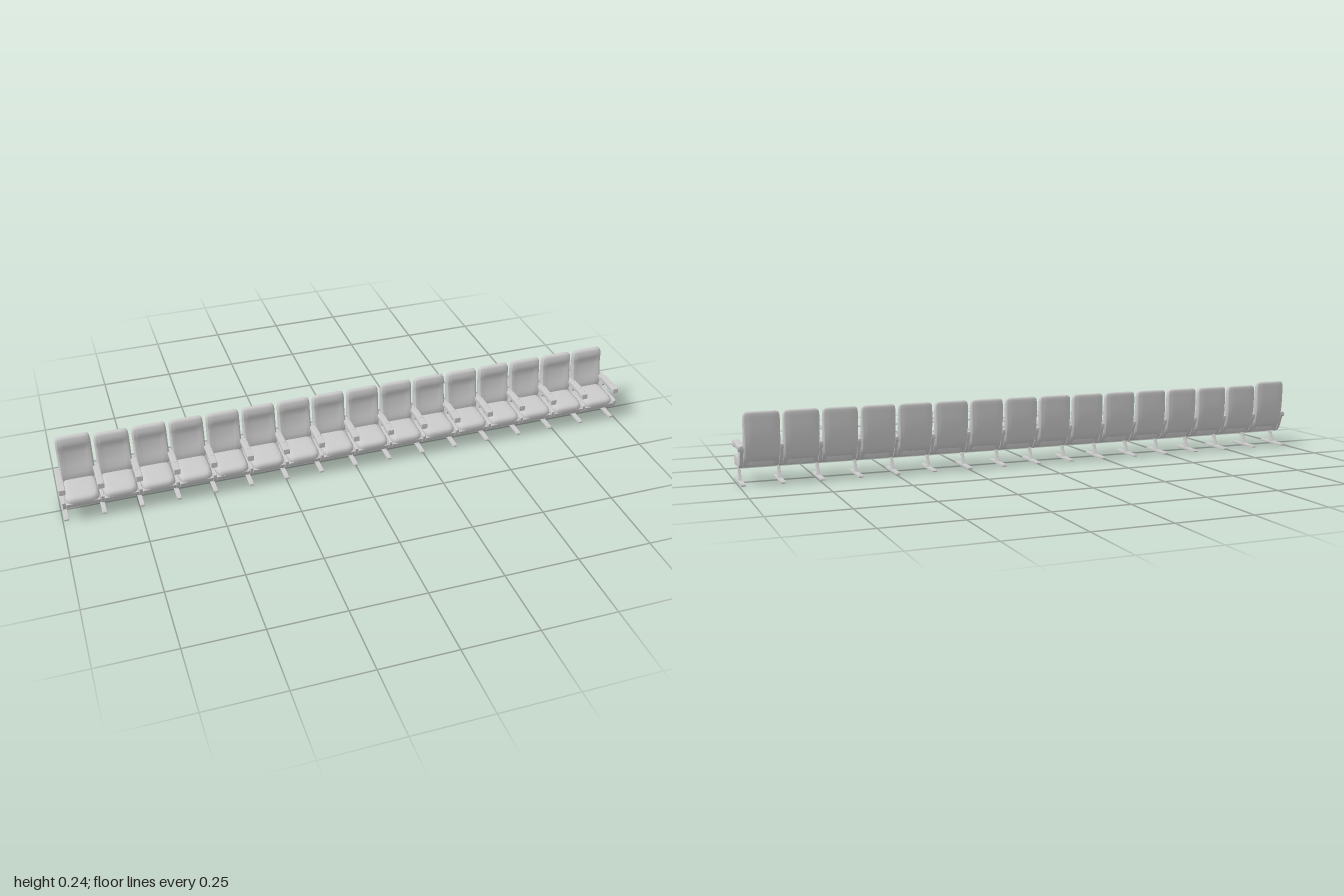
import * as THREE from 'three';
import { toCreasedNormals, mergeVertices } from 'three/addons/utils/BufferGeometryUtils.js';

const SEATS = 16, PITCH = 0.1235;
const material = new THREE.MeshStandardMaterial({ color: 0xcccccc });

// Side outline given as [z, y], extruded across x and centred on x = 0
function sideExtrude(points, width, bevel = 0.002, crease = 0.6) {
  const shape = new THREE.Shape(points.map(([z, y]) => new THREE.Vector2(z, y)));
  const geo = new THREE.ExtrudeGeometry(shape, {
    depth: width - 2 * bevel, bevelEnabled: bevel > 0, bevelSize: bevel,
    bevelThickness: bevel, bevelOffset: -bevel, bevelSegments: 3
  });
  geo.rotateY(-Math.PI / 2);
  geo.translate(width / 2 - bevel, 0, 0);
  return toCreasedNormals(geo, crease);
}

// Soft rounded-rectangle sections [y, zFront, zBack, halfWidth, hollow] stacked upward
function loft(sections, n = 40) {
  const pos = [], index = [];
  const soft = v => Math.sign(v) * Math.pow(Math.abs(v), 0.4);
  for (const [y, zf, zb, hw, hollow = 0] of sections) {
    for (let i = 0; i < n; i++) {
      const a = (i / n) * Math.PI * 2;
      const u = soft(Math.cos(a)), s = soft(Math.sin(a));
      let z = (zf + zb) / 2 + s * (zf - zb) / 2;
      if (s > 0) z -= hollow * Math.max(0, 1 - Math.pow(u / 0.85, 4));
      pos.push(u * hw, y, z);
    }
  }
  const last = sections.length - 1;
  for (let r = 0; r < last; r++) for (let i = 0; i < n; i++) {
    const a = r * n + i, b = r * n + (i + 1) % n;
    index.push(a, a + n, b, b, a + n, b + n);
  }
  // End caps
  for (const r of [0, last]) {
    const [y, zf, zb] = sections[r], c = pos.length / 3;
    pos.push(0, y, (zf + zb) / 2);
    for (let i = 0; i < n; i++) {
      const a = r * n + i, b = r * n + (i + 1) % n;
      if (r) index.push(c, b, a); else index.push(c, a, b);
    }
  }
  const geo = new THREE.BufferGeometry();
  geo.setAttribute('position', new THREE.Float32BufferAttribute(pos, 3));
  geo.setIndex(index);
  return toCreasedNormals(mergeVertices(geo), 0.9);
}

function add(parent, name, geo, x = 0, y = 0, z = 0) {
  const mesh = new THREE.Mesh(geo, material);
  mesh.name = name;
  mesh.position.set(x, y, z);
  parent.add(mesh);
  return mesh;
}

export function createModel() {
  const model = new THREE.Group();
  model.name = 'seatRow';

  // Padded backrest with a hollow for the sitter and a fuller head area
  const backrest = loft([
    [0.073, -0.045, -0.051, 0.048], [0.078, -0.038, -0.055, 0.053],
    [0.092, -0.034, -0.061, 0.056], [0.11, -0.034, -0.066, 0.057, 0.004],
    [0.13, -0.038, -0.070, 0.057, 0.006], [0.15, -0.044, -0.072, 0.057, 0.006],
    [0.175, -0.048, -0.073, 0.057, 0.005], [0.194, -0.051, -0.073, 0.057, 0.003],
    [0.2, -0.050, -0.073, 0.057], [0.214, -0.052, -0.073, 0.0565],
    [0.224, -0.054, -0.073, 0.055], [0.23, -0.057, -0.072, 0.051], [0.232, -0.061, -0.069, 0.046]
  ]);

  // Seat cushion, crowned and rounded at the corners
  const cushion = loft([
    [0.056, 0.064, -0.04, 0.05], [0.06, 0.07, -0.042, 0.054], [0.072, 0.074, -0.044, 0.055],
    [0.083, 0.073, -0.044, 0.055], [0.088, 0.069, -0.044, 0.053],
    [0.0915, 0.06, -0.044, 0.046], [0.0925, 0.04, -0.04, 0.034]
  ]);

  // Curved pan under the cushion, sweeping up into the back
  const pan = sideExtrude([
    [0.073, 0.07], [0.072, 0.064], [0.062, 0.05], [-0.005, 0.05], [-0.018, 0.051],
    [-0.029, 0.055], [-0.038, 0.063], [-0.046, 0.077], [-0.053, 0.095], [-0.056, 0.11],
    [-0.045, 0.11], [-0.036, 0.085], [-0.025, 0.07]
  ], 0.112, 0.002);

  // Side panel between seats, reaching from the front edge to the arm pivot
  const panel = sideExtrude([
    [0.074, 0.079], [0.074, 0.07], [0.063, 0.049], [-0.008, 0.049], [-0.02, 0.05],
    [-0.031, 0.055], [-0.04, 0.064], [-0.047, 0.078], [-0.054, 0.098], [-0.062, 0.114],
    [-0.061, 0.124], [-0.052, 0.128], [-0.042, 0.124], [-0.034, 0.112], [-0.018, 0.106],
    [-0.015, 0.1], [-0.017, 0.093], [-0.006, 0.086], [0.01, 0.083], [0.06, 0.083]
  ], 0.011, 0.002);

  // Armrest, pad and pivot
  const armrest = sideExtrude([
    [0.07, 0.108], [0.07, 0.127], [0.044, 0.127], [0.037, 0.13], [-0.022, 0.13],
    [-0.034, 0.126], [-0.052, 0.126], [-0.061, 0.122], [-0.062, 0.113], [-0.054, 0.107],
    [-0.04, 0.108], [-0.028, 0.112], [0.026, 0.112], [0.036, 0.108]
  ], 0.022, 0.003);
  const armPad = sideExtrude([
    [0.034, 0.128], [0.03, 0.132], [-0.022, 0.132], [-0.03, 0.128]
  ], 0.016, 0.0015);
  const pivot = new THREE.CylinderGeometry(0.009, 0.009, 0.023, 24).rotateZ(Math.PI / 2);

  // Slanted strut flaring into a long floor rail
  const leg = sideExtrude([
    [0.024, 0.052], [0.009, 0.052], [-0.004, 0.02], [-0.008, 0.012], [-0.014, 0.007],
    [0.014, 0.007], [0.008, 0.012], [0.006, 0.018], [0.011, 0.028]
  ].map(([z, y]) => [z + (y > 0.045 ? 0.002 : 0), y]), 0.009, 0.001);
  const foot = sideExtrude([
    [0.062, 0], [0.062, 0.005], [0.058, 0.008], [-0.065, 0.008], [-0.07, 0.004], [-0.07, 0]
  ], 0.015, 0.001);

  for (let i = 0; i < SEATS; i++) {
    const seat = new THREE.Group();
    seat.name = 'seat';
    seat.position.x = (i - (SEATS - 1) / 2) * PITCH;
    add(seat, 'seatCushion', cushion);
    add(seat, 'seatPan', pan);
    const back = add(seat, 'backrest', backrest);
    // The end seat has a slightly taller back
    if (i === 0) {
      back.scale.y = 1.055;
      back.position.y = -0.003;
    }
    model.add(seat);
  }

  for (let i = 0; i <= SEATS; i++) {
    const divider = new THREE.Group();
    divider.name = 'divider';
    divider.position.x = (i - SEATS / 2) * PITCH;
    add(divider, 'sidePanel', panel);
    add(divider, 'armrest', armrest);
    add(divider, 'armPad', armPad);
    add(divider, 'armPivot', pivot, 0, 0.117, -0.052);
    add(divider, 'leg', leg);
    add(divider, 'footRail', foot);
    model.add(divider);
  }

  // Beam running beneath all the seats
  const beam = sideExtrude([
    [0.046, 0.052], [0.036, 0.042], [0.026, 0.042], [0.02, 0.052]
  ], SEATS * PITCH, 0.001);
  add(model, 'crossBeam', beam);
  return model;
}
